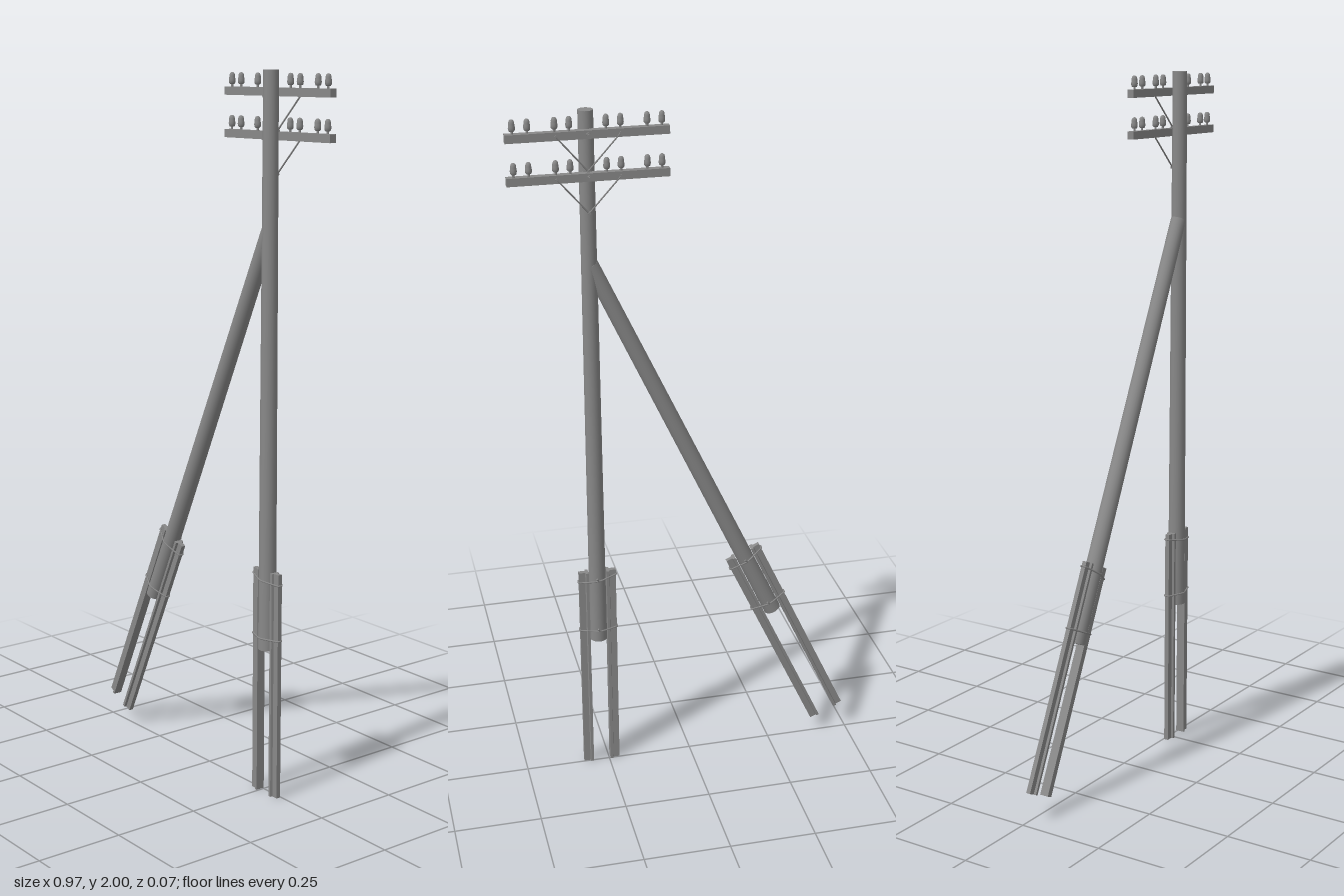
import * as THREE from 'three';

const mat = new THREE.MeshStandardMaterial({ color: 0x888888 });
const POLE_X = 0.272, POLE_Z = 0.009;
const ARM_Z = -0.017, ARM_LENGTH = 0.43, ARM_H = 0.022, ARM_D = 0.02;

function add(parent, name, geometry, x = 0, y = 0, z = 0) {
  const mesh = new THREE.Mesh(geometry, mat);
  mesh.name = name;
  mesh.position.set(x, y, z);
  parent.add(mesh);
  return mesh;
}

// Thin round rod between two points
function rod(parent, name, a, b, radius) {
  const dir = b.clone().sub(a);
  const mesh = add(parent, name, new THREE.CylinderGeometry(radius, radius, dir.length(), 6));
  mesh.position.copy(a).add(b).multiplyScalar(0.5);
  mesh.quaternion.setFromUnitVectors(new THREE.Vector3(0, 1, 0), dir.normalize());
}

// Footing stub: rail-like T section, flange against the pole, web outwards
function stubGeometry() {
  const s = new THREE.Shape();
  s.moveTo(0.026, -0.013);
  s.lineTo(0.034, -0.013);
  s.lineTo(0.036, -0.0065);
  s.lineTo(0.054, -0.0065);
  s.lineTo(0.054, 0.0065);
  s.lineTo(0.036, 0.0065);
  s.lineTo(0.034, 0.013);
  s.lineTo(0.026, 0.013);
  s.closePath();
  const g = new THREE.ExtrudeGeometry(s, { depth: 0.65, bevelEnabled: false });
  return g.rotateX(-Math.PI / 2);
}

// Wire loop wrapped round pole and stubs, slightly tilted
function wireGeometry(tilt) {
  const half = [[0.055, 0.007], [0.014, 0.0225], [0, 0.026], [-0.014, 0.0225], [-0.055, 0.007]];
  const loop = [...half, ...half.map(([x, z]) => [-x, -z])];
  const pts = loop.map(([x, z]) => new THREE.Vector3(x, tilt * x, z));
  const curve = new THREE.CatmullRomCurve3(pts, true, 'catmullrom', 0.05);
  return new THREE.TubeGeometry(curve, 60, 0.0025, 6, true);
}

// Timber pole standing between two stubs, tied with wire
function makePost(name, top, topRadius) {
  const post = new THREE.Group();
  post.name = name;
  const bottom = 0.425;
  add(post, 'pole', new THREE.CylinderGeometry(topRadius, 0.025, top - bottom, 20), 0, (top + bottom) / 2, 0);
  for (const side of [0, 1]) {
    add(post, 'footingStub', stubGeometry()).rotation.y = side * Math.PI;
  }
  [[0.46, 0], [0.627, -0.15]].forEach(([y, tilt]) => {
    add(post, 'bindingWire', wireGeometry(tilt), 0, y, 0);
    rod(post, 'wireTwist', new THREE.Vector3(0, y, -0.026), new THREE.Vector3(0.005, y + 0.01, -0.029), 0.0025);
  });
  return post;
}

// Rounded insulator on a pin; y = 0 is the top of the arm
const insulatorProfile = [
  [0, 0.007], [0.006, 0.007], [0.0085, 0.01], [0.0092, 0.016], [0.0085, 0.022],
  [0.0078, 0.026], [0.0078, 0.03], [0.006, 0.035], [0.003, 0.0375], [0, 0.038],
].map(([r, y]) => new THREE.Vector2(r, y));
const insulatorGeometry = new THREE.LatheGeometry(insulatorProfile, 12);
const pinGeometry = new THREE.CylinderGeometry(0.0035, 0.0035, 0.014, 6);

function makeCrossarm(y) {
  const arm = new THREE.Group();
  arm.name = 'crossarm';
  arm.position.set(POLE_X, y, ARM_Z);
  add(arm, 'beam', new THREE.BoxGeometry(ARM_LENGTH, ARM_H, ARM_D));

  // Through bolt at the pole
  const back = -ARM_D / 2;
  rod(arm, 'bolt', new THREE.Vector3(0, 0, 0.02), new THREE.Vector3(0, 0, back - 0.011), 0.003);
  rod(arm, 'boltNut', new THREE.Vector3(0, 0, back), new THREE.Vector3(0, 0, back - 0.005), 0.006);

  for (const side of [-1, 1]) {
    for (const x of [0.048, 0.086, 0.156, 0.195]) {
      add(arm, 'insulator', insulatorGeometry, side * x, ARM_H / 2, 0);
      add(arm, 'insulatorPin', pinGeometry, side * x, ARM_H / 2 + 0.003, 0);
    }
    // Diagonal brace from the arm's back face down to the pole
    const outer = new THREE.Vector3(side * 0.085, 0, back);
    rod(arm, 'brace', outer, new THREE.Vector3(0, -0.1, 0.003), 0.0022);
    rod(arm, 'braceBolt', outer, outer.clone().setZ(back - 0.003), 0.0035);
  }
  rod(arm, 'braceBolt', new THREE.Vector3(0, -0.1, 0.012), new THREE.Vector3(0, -0.1, -0.002), 0.004);
  return arm;
}

export function createModel() {
  const model = new THREE.Group();
  model.name = 'utilityPole';

  // Upright post
  const upright = makePost('uprightPost', 2, 0.0205);
  upright.position.set(POLE_X, 0, POLE_Z);
  model.add(upright);

  // Leaning strut, its head buried in the upright
  const strut = makePost('strut', 1.672, 0.022);
  strut.position.set(-0.437, 0.067, POLE_Z);
  strut.rotation.z = -25 * Math.PI / 180;
  model.add(strut);

  for (const y of [1.943, 1.83]) model.add(makeCrossarm(y));
  return model;
}
